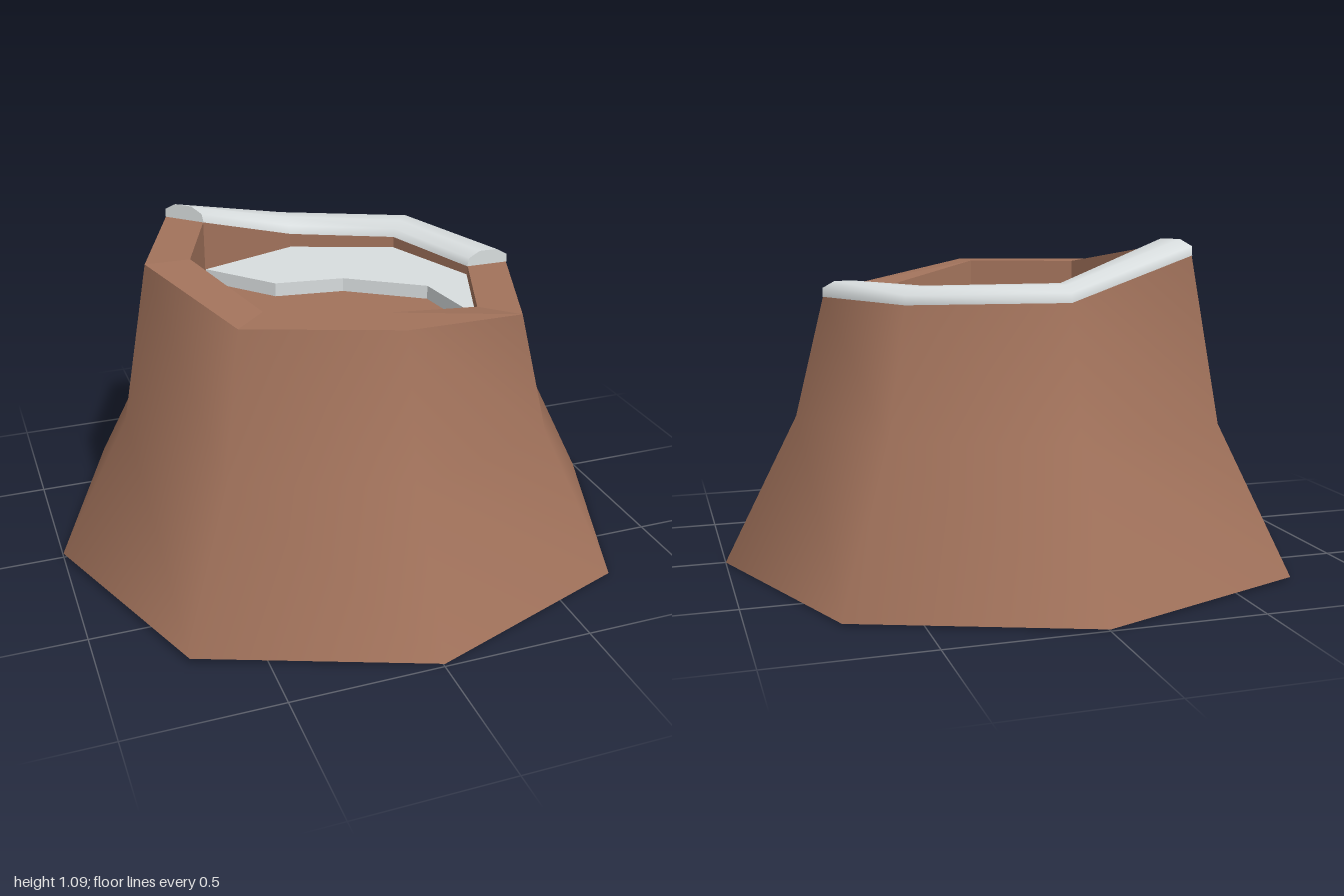
import * as THREE from 'three';

const SIDES = 8;
// Heights of the eight corners, starting at +x and turning towards +z
const RIM = [0.89, 0.89, 0.97, 0.97, 1.035, 1.035, 0.91, 0.9];
const FOOT = [0, 0.005, 0.01, 0.02, 0.015, 0.01, 0.005, 0.005];
const FLOOR_Y = 0.81;

// Corner i of an octagon whose diagonal corners sit slightly further out
function corner(i, radius, y) {
  const k = i % SIDES;
  const r = radius * (k % 2 ? 1.03 : 1);
  const a = (k / SIDES) * Math.PI * 2;
  return [r * Math.cos(a), y, r * Math.sin(a)];
}

const ring = (radius, heights, lift = 0) =>
  heights.map((h, i) => corner(i, radius, h + lift));

// Skin between successive rows of points
function loft(rows, closed, flat) {
  const n = rows[0].length;
  const index = [];
  for (let r = 0; r < rows.length - 1; r++) {
    for (let i = 0; i < (closed ? n : n - 1); i++) {
      const j = (i + 1) % n;
      const a = r * n + i, b = r * n + j, c = a + n, d = b + n;
      index.push(a, c, d, a, d, b);
    }
  }
  let geo = new THREE.BufferGeometry();
  geo.setAttribute('position', new THREE.Float32BufferAttribute(rows.flat(2), 3));
  geo.setIndex(index);
  if (flat) geo = geo.toNonIndexed();
  geo.computeVertexNormals();
  return geo;
}

// Flat polygon filling a convex outline
function fan(points) {
  const geo = new THREE.BufferGeometry();
  geo.setAttribute('position', new THREE.Float32BufferAttribute(points.flat(), 3));
  const index = [];
  for (let i = 1; i < points.length - 1; i++) index.push(0, i + 1, i);
  geo.setIndex(index);
  geo.computeVertexNormals();
  return geo;
}

export function createModel() {
  const group = new THREE.Group();
  const rock = new THREE.MeshStandardMaterial({ color: 0xa1725b, side: THREE.DoubleSide });
  rock.name = 'brownRock';
  const snow = new THREE.MeshStandardMaterial({ color: 0xd8ddde, side: THREE.DoubleSide });
  snow.name = 'paleSnow';

  const add = (name, geo, mat) => {
    const mesh = new THREE.Mesh(geo, mat);
    mesh.name = name;
    group.add(mesh);
  };

  // Mountain: flared outer slope, open underneath
  const level = (y) => Array(SIDES).fill(y);
  add('outerSlope', loft([ring(1, FOOT), ring(0.75, level(0.49)), ring(0.65, RIM)], true, false), rock);

  // Crater: uneven rim, inner wall and floor
  add('craterRim', loft([ring(0.65, RIM), ring(0.5, RIM)], true, true), rock);
  add('craterWall', loft([ring(0.5, RIM), ring(0.5, level(FLOOR_Y))], true, true), rock);
  add('craterFloor', fan(ring(0.5, level(FLOOR_Y))), rock);

  // Rounded snow bank along the back of the rim: [radius, lift] across its width
  const profile = [[0.652, 0], [0.65, 0.03], [0.61, 0.052], [0.545, 0.052], [0.505, 0.03], [0.498, 0]];
  const span = [5, 6, 7, 8];
  const bank = profile.map(([r, lift]) =>
    span.map((i) => corner(i, r, RIM[i % SIDES] + lift)));
  add('snowBank', loft(bank, false, false), snow);
  add('snowBankEndBack', fan(bank.map((row) => row[0])), snow);
  add('snowBankEndSide', fan(bank.map((row) => row[3]).reverse()), snow);

  // Snow drift lying on the crater floor
  const drift = [];
  for (let i = 5; i <= 9; i++) {
    const [x, , z] = corner(i, 0.497, 0);
    drift.push(new THREE.Vector2(x, z));
  }
  [[0.32, 0.06], [0.07, -0.11], [-0.17, -0.14]].forEach(([x, z]) => drift.push(new THREE.Vector2(x, z)));
  const driftGeo = new THREE.ExtrudeGeometry(new THREE.Shape(drift), { depth: 0.048, bevelEnabled: false });
  driftGeo.rotateX(Math.PI / 2);
  driftGeo.translate(0, 0.86, 0);
  add('snowDrift', driftGeo, snow);

  return group;
}
